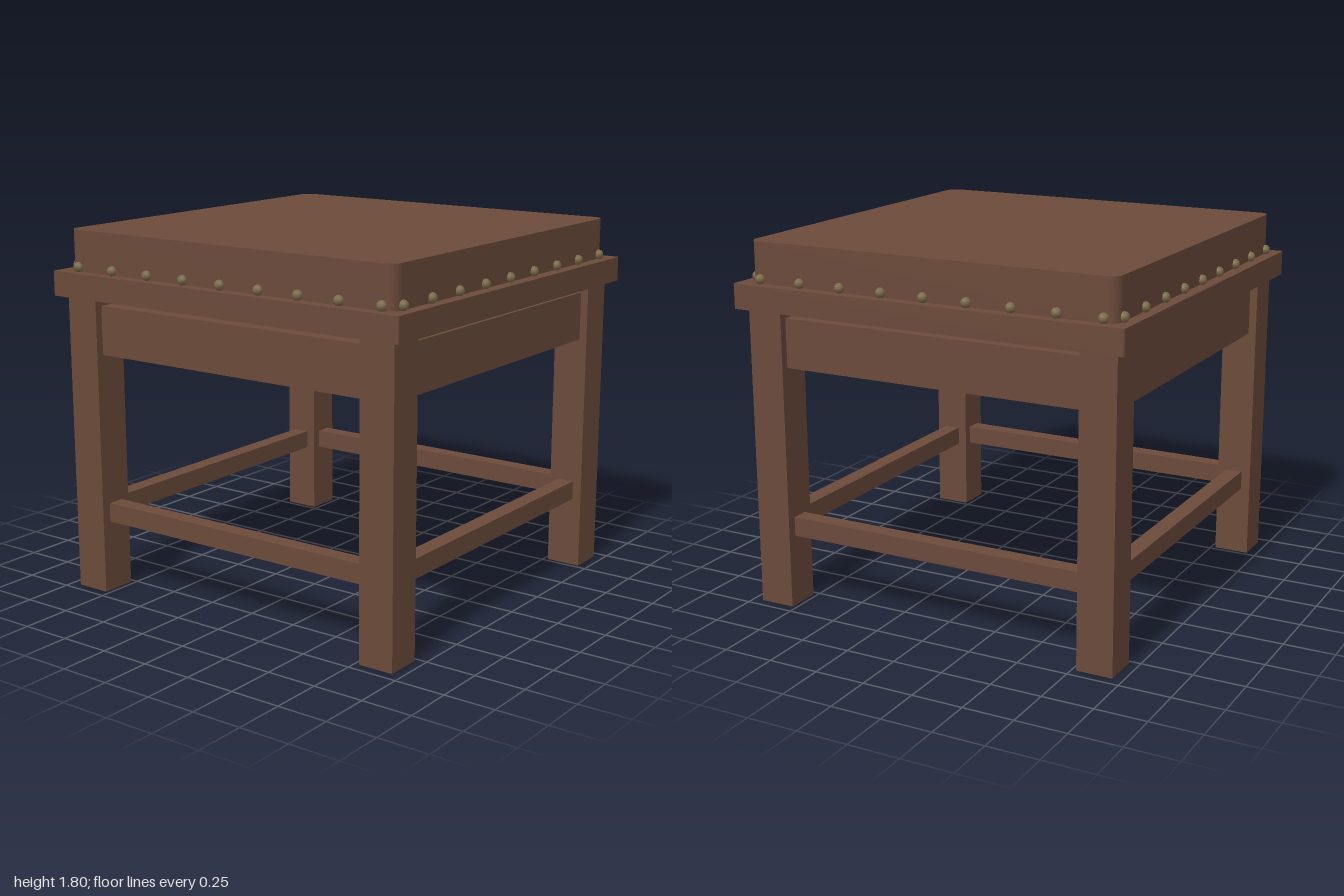
import * as THREE from 'three';

const wood = new THREE.MeshStandardMaterial({ name: 'brownWood', color: 0x6b4a3a });
const leather = new THREE.MeshStandardMaterial({ name: 'brownLeather', color: 0x6b4a3a });
const brass = new THREE.MeshStandardMaterial({ name: 'agedBrass', color: 0x7a6a48 });

// Upright square slab with rounded vertical corners
function roundedSlab(half, radius, bottom, height) {
  const s = new THREE.Shape();
  const c = half - radius;
  s.absarc(c, c, radius, 0, Math.PI / 2);
  s.absarc(-c, c, radius, Math.PI / 2, Math.PI);
  s.absarc(-c, -c, radius, Math.PI, Math.PI * 1.5);
  s.absarc(c, -c, radius, Math.PI * 1.5, Math.PI * 2);
  const geo = new THREE.ExtrudeGeometry(s, { depth: height, bevelEnabled: false, curveSegments: 5 });
  return geo.rotateX(-Math.PI / 2).translate(0, bottom, 0);
}

export function createModel() {
  const model = new THREE.Group();
  model.name = 'stool';
  const add = (parent, name, geometry, material, x = 0, y = 0, z = 0) => {
    const mesh = new THREE.Mesh(geometry, material);
    mesh.name = name;
    mesh.position.set(x, y, z);
    parent.add(mesh);
  };

  // Seat board and cushion
  add(model, 'seatBoard', roundedSlab(1, 0.012, 1.48, 0.12), wood);
  add(model, 'cushion', roundedSlab(0.94, 0.055, 1.6, 0.2), leather);

  // Four square legs
  const legAt = 0.861;
  const legGeo = new THREE.BoxGeometry(0.178, 1.48, 0.178);
  for (const x of [-legAt, legAt])
    for (const z of [-legAt, legAt]) add(model, 'leg', legGeo, wood, x, 0.74, z);

  // One apron, stretcher and row of nails on each side
  const apronGeo = new THREE.BoxGeometry(1.55, 0.24, 0.1);
  const stretcherGeo = new THREE.BoxGeometry(1.55, 0.095, 0.085);
  const nailGeo = new THREE.SphereGeometry(0.025, 8, 6);
  for (let i = 0; i < 4; i++) {
    const side = new THREE.Group();
    side.name = 'side';
    side.rotation.y = (i * Math.PI) / 2;
    add(side, 'apron', apronGeo, wood, 0, 1.32, legAt);
    add(side, 'stretcher', stretcherGeo, wood, 0, 0.403, legAt);
    for (let n = -4; n <= 4; n++) add(side, 'nail', nailGeo, brass, n * 0.22, 1.622, 0.945);
    model.add(side);
  }
  return model;
}
